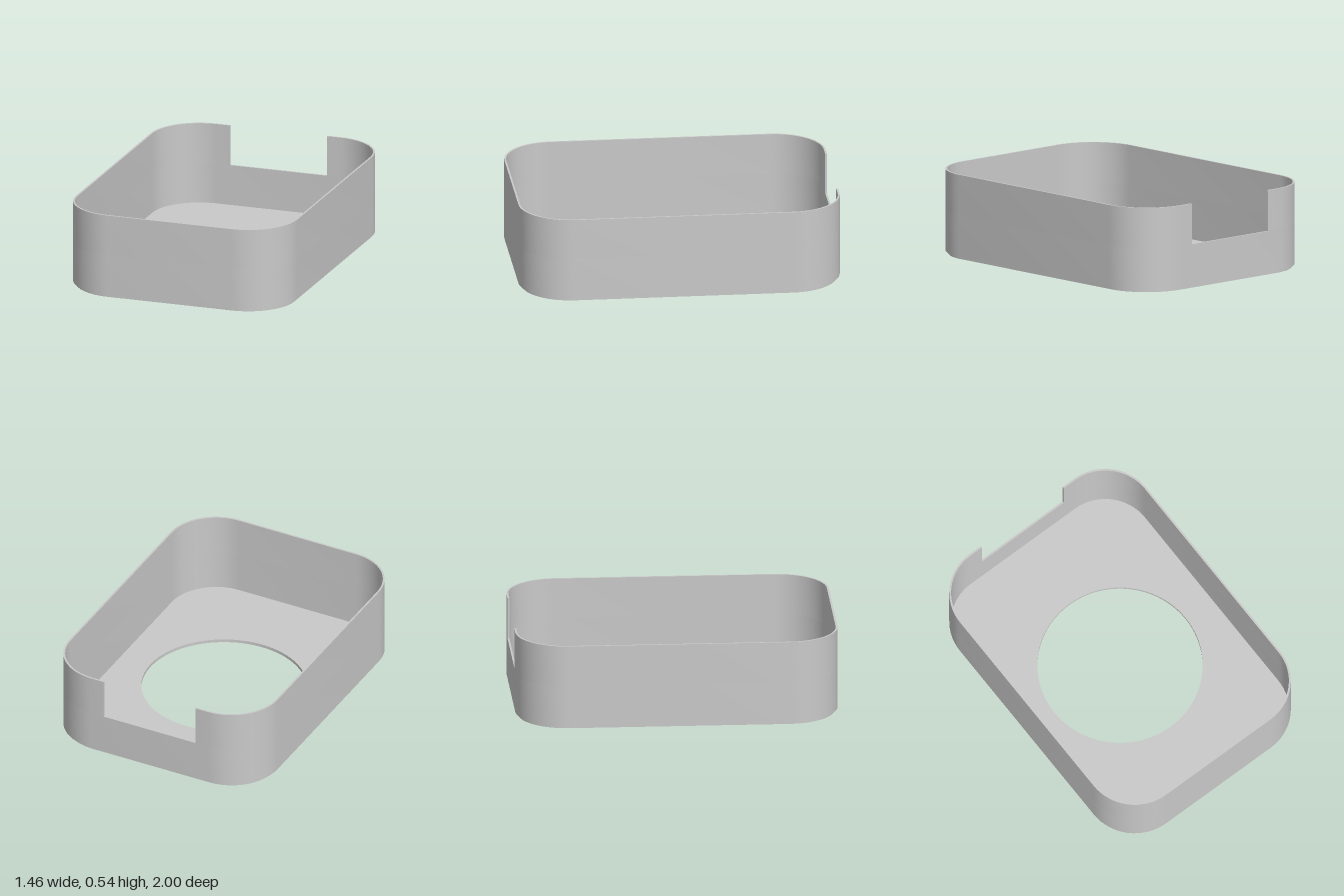
import * as THREE from 'three';
import { toCreasedNormals } from 'three/addons/utils/BufferGeometryUtils.js';

const HALF_W = 0.728, HALF_L = 1, HEIGHT = 0.535, RADIUS = 0.32;
const WALL = 0.012, FLOOR = 0.02, HOLE = 0.512;
const NOTCH_HALF = 0.32, NOTCH_Y = 0.278;
const STEPS = 6, STEP_INSET = 0.02;

// Rounded rectangle, clockwise from the back edge (+y of the shape is the back)
function outline(inset) {
  const pts = [], n = 16, r = RADIUS - inset;
  const cx = HALF_W - RADIUS, cy = HALF_L - RADIUS;
  [[1, 1], [1, -1], [-1, -1], [-1, 1]].forEach(([sx, sy], corner) => {
    for (let i = 0; i <= n; i++) {
      const a = Math.PI / 2 * (1 - corner - i / n);
      pts.push(new THREE.Vector2(sx * cx + r * Math.cos(a), sy * cy + r * Math.sin(a)));
    }
  });
  return pts;
}

// Lay a shape flat, with its front side up
const flat = (geometry, y) => geometry.rotateX(-Math.PI / 2).translate(0, y, 0);

function wallGeometry(shape, y0, y1) {
  const g = new THREE.ExtrudeGeometry(shape, { depth: y1 - y0, bevelEnabled: false });
  return toCreasedNormals(flat(g, y0), 0.5);
}

function plateShape(inset) {
  const shape = new THREE.Shape(outline(inset));
  shape.holes.push(new THREE.Path().absarc(0, 0, HOLE, 0, Math.PI * 2, false));
  return shape;
}

// Band swept round the outline through [inset, y] profile points
function bandGeometry(profile) {
  const rings = profile.map(([inset, y]) => outline(inset).map(p => [p.x, y, -p.y]));
  const pos = [];
  for (let k = 0; k < rings.length - 1; k++) {
    const up = rings[k], low = rings[k + 1];
    up.forEach((a, i) => {
      const j = (i + 1) % up.length;
      pos.push(...a, ...up[j], ...low[i], ...up[j], ...low[j], ...low[i]);
    });
  }
  const g = new THREE.BufferGeometry();
  g.setAttribute('position', new THREE.Float32BufferAttribute(pos, 3));
  g.computeVertexNormals();
  return g;
}

export function createModel() {
  const group = new THREE.Group();
  const grey = new THREE.MeshStandardMaterial({ color: 0xc9c9c9, side: THREE.DoubleSide });
  grey.name = 'grey';
  const add = (name, geometry) => {
    const mesh = new THREE.Mesh(geometry, grey);
    mesh.name = name;
    group.add(mesh);
  };

  // Full ring of wall below the notch
  const ring = new THREE.Shape(outline(0));
  ring.holes.push(new THREE.Path(outline(WALL).reverse()));
  add('lowerWall', wallGeometry(ring, FLOOR, NOTCH_Y));

  // Upper wall, open at the back
  const V = (x, y) => new THREE.Vector2(x, y);
  const open = new THREE.Shape([
    V(NOTCH_HALF, HALF_L), ...outline(0), V(-NOTCH_HALF, HALF_L),
    V(-NOTCH_HALF, HALF_L - WALL), ...outline(WALL).reverse(), V(NOTCH_HALF, HALF_L - WALL),
  ]);
  add('upperWall', wallGeometry(open, NOTCH_Y, HEIGHT));

  // Finely stepped bottom edge
  const profile = [[0, FLOOR]];
  for (let i = 1; i <= STEPS; i++) {
    const inset = STEP_INSET * i / STEPS;
    profile.push([inset, FLOOR * (1 - (i - 1) / STEPS)], [inset, FLOOR * (1 - i / STEPS)]);
  }
  add('steppedEdge', bandGeometry(profile));

  // Floor with its round opening
  add('floorTop', flat(new THREE.ShapeGeometry(plateShape(WALL), 48), FLOOR));
  const under = new THREE.ShapeGeometry(plateShape(STEP_INSET), 48);
  add('floorUnderside', under.rotateX(Math.PI / 2));
  const rim = new THREE.CylinderGeometry(HOLE, HOLE, FLOOR, 96, 1, true);
  add('openingRim', rim.translate(0, FLOOR / 2, 0));
  return group;
}
